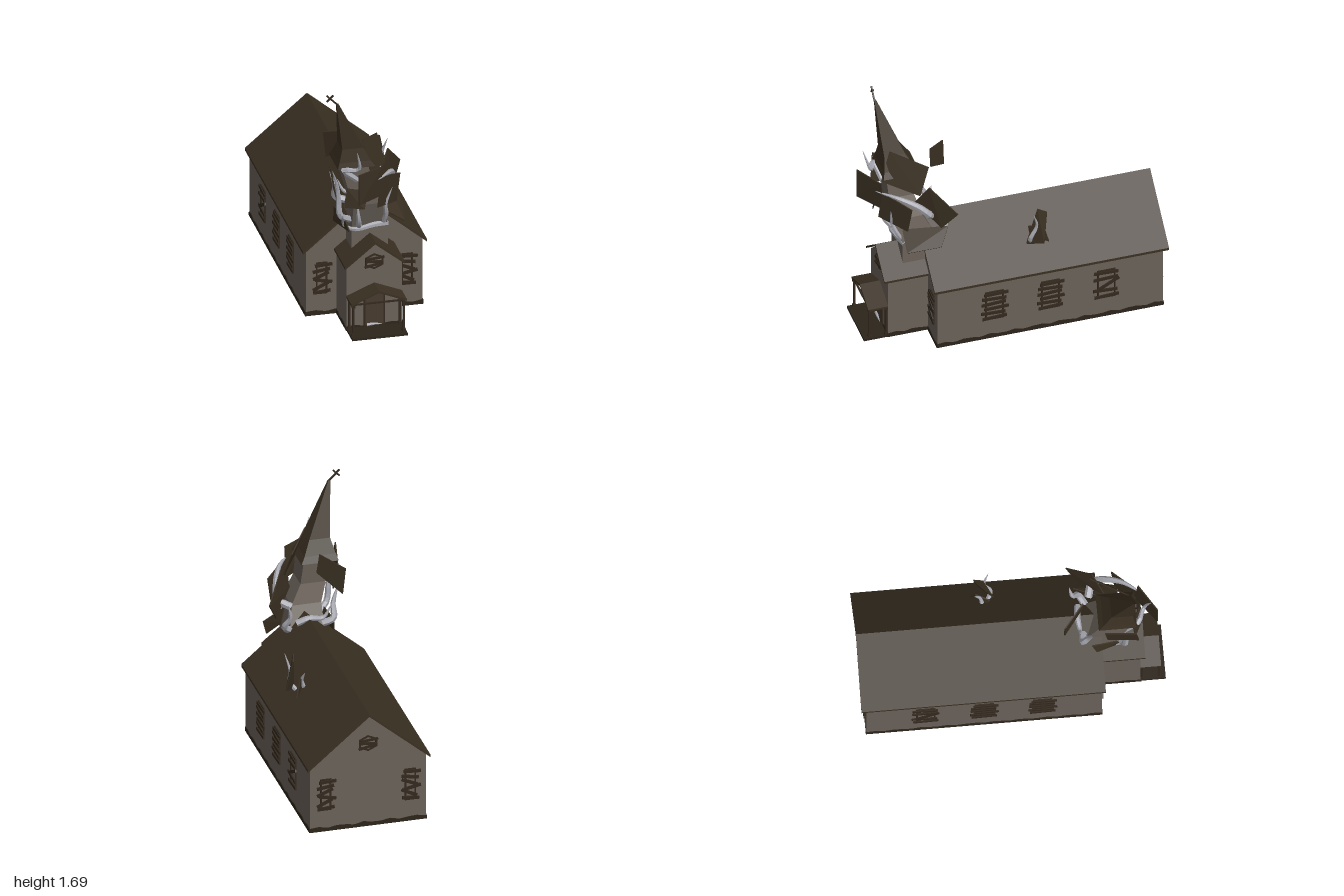
import * as THREE from 'three';
import { ConvexGeometry } from 'three/addons/geometries/ConvexGeometry.js';

const mat = (name, color, side = THREE.FrontSide) => {
  const m = new THREE.MeshStandardMaterial({ color, side });
  m.name = name;
  return m;
};
const V = (p) => new THREE.Vector3(...p);

export function createModel() {
  const model = new THREE.Group();
  model.name = 'ruinedChapel';
  const wall = mat('weatheredWall', 0x6a6159, THREE.DoubleSide);
  const roof = mat('roofBrown', 0x3a3022, THREE.DoubleSide);
  const timber = mat('darkTimber', 0x33291e);
  const doorMat = mat('doorBrown', 0x463a2d);
  const ground = mat('foundationDark', 0x2c241a);
  const root = mat('paleRoot', 0xa9aab2);

  const add = (name, geo, m, parent = model) => {
    const mesh = new THREE.Mesh(geo, m);
    mesh.name = name;
    parent.add(mesh);
    return mesh;
  };
  const box = (name, [w, h, d], [x, y, z], m, parent) => {
    const b = add(name, new THREE.BoxGeometry(w, h, d), m, parent);
    b.position.set(x, y, z);
    return b;
  };
  const extrudeZ = (pts, z0, z1) => {
    const shape = new THREE.Shape(pts.map((p) => new THREE.Vector2(...p)));
    return new THREE.ExtrudeGeometry(shape, { depth: z1 - z0, bevelEnabled: false }).translate(0, 0, z0);
  };
  const gableWalls = (name, w, eave, ridge, z0, z1) =>
    add(name, extrudeZ([[-w, 0.01], [w, 0.01], [w, eave], [0, ridge], [-w, eave]], z0, z1), wall);
  const gableRoof = (name, w, eave, ridge, t, z0, z1) =>
    add(name, extrudeZ([[-w, eave], [0, ridge - t], [w, eave], [w, eave + t], [0, ridge], [-w, eave + t]], z0, z1), roof);

  // Hall and entrance block
  gableWalls('hallWalls', 0.39, 0.47, 0.805, -0.965, 0.565);
  gableRoof('hallRoof', 0.413, 0.455, 0.822, 0.018, -1, 0.59);
  gableWalls('entranceWalls', 0.185, 0.455, 0.612, 0.5, 0.835);
  gableRoof('entranceRoof', 0.2, 0.45, 0.628, 0.016, 0.565, 0.865);

  // Foundations and skirting with a ragged top edge
  box('hallFoundation', [0.79, 0.022, 1.54], [0, 0.011, -0.2], ground);
  box('entranceFoundation', [0.378, 0.022, 0.3], [0, 0.011, 0.69], ground);
  box('porchFloor', [0.37, 0.016, 0.17], [0, 0.008, 0.915], ground);
  const skirting = (length, x, z, turn) => {
    const n = Math.round(length / 0.06);
    const pts = [[-length / 2, 0.01], [length / 2, 0.01]];
    for (let i = n; i >= 0; i--) pts.push([(i / n - 0.5) * length, 0.028 + 0.008 * Math.sin(i * 2.3)]);
    const s = add('skirting', extrudeZ(pts, 0, 0.005), ground);
    s.position.set(x, 0, z);
    s.rotation.y = turn;
  };
  for (const s of [-1, 1]) {
    skirting(1.53, s * 0.39, -0.2, s * Math.PI / 2);
    skirting(0.205, s * 0.288, 0.565, 0);
    skirting(0.27, s * 0.185, 0.7, s * Math.PI / 2);
    skirting(0.12, s * 0.125, 0.835, 0);
  }
  skirting(0.78, 0, -0.965, Math.PI);

  // Boarded windows: four frame bars with crooked planks nailed across
  const boardedWindow = (x, y, z, turn, w, tilts) => {
    const g = new THREE.Group();
    g.name = 'boardedWindow';
    g.position.set(x, y, z);
    g.rotation.y = turn;
    for (const s of [-1, 1]) {
      box('frameSide', [0.01, 0.225, 0.009], [s * w / 2, 0, 0.004], timber, g);
      box('frameRail', [w + 0.01, 0.01, 0.009], [0, s * 0.108, 0.004], timber, g);
    }
    tilts.forEach((tilt, i) => {
      const t = i / (tilts.length - 1) - 0.5;
      const p = box('plank', [w + 0.05, 0.021, 0.009], [0.012 * Math.sin(i * 4), t * 0.19, 0.011], timber, g);
      p.rotation.z = tilt;
    });
    model.add(g);
  };
  const straight = [0.05, -0.04, 0.03, 0.06, -0.05, 0.02];
  const crooked = [0.05, -0.06, 0.5, 0.05, -0.03];
  const slanted = [0.1, 0.45, -0.2, 0.4, 0.15, 0.05];
  for (const s of [-1, 1]) {
    [0.18, -0.2, -0.58].forEach((z, i) =>
      boardedWindow(s * 0.39, 0.265, z, s * Math.PI / 2, 0.115, i === 2 ? crooked : straight));
    boardedWindow(s * 0.285, 0.265, 0.565, 0, 0.065, slanted.map((a) => a * -s));
    boardedWindow(s * 0.285, 0.265, -0.965, Math.PI, 0.065, slanted.map((a) => a * s));
  }

  // Hexagonal gable vents
  const hexagon = (r) => [90, 150, 210, 270, 330, 30].map((a) =>
    new THREE.Vector2(Math.cos(a * Math.PI / 180) * r * 1.25, Math.sin(a * Math.PI / 180) * r));
  const vent = (y, z, turn) => {
    const g = new THREE.Group();
    g.name = 'gableVent';
    g.position.set(0, y, z);
    g.rotation.y = turn;
    const ring = new THREE.Shape(hexagon(0.056));
    ring.holes.push(new THREE.Path(hexagon(0.045)));
    add('ventFrame', new THREE.ExtrudeGeometry(ring, { depth: 0.008, bevelEnabled: false }), timber, g);
    [0.2, -0.08, 0.1].forEach((a, i) => {
      box('ventPlank', [0.12, 0.016, 0.009], [0.006 * (i - 1), (i - 1) * 0.024, 0.011], timber, g).rotation.z = a;
    });
    model.add(g);
  };
  vent(0.48, 0.835, 0);
  vent(0.6, -0.965, Math.PI);

  // Porch: posts, beams and small gable roof
  gableRoof('porchRoof', 0.185, 0.235, 0.325, 0.014, 0.835, 0.97);
  for (const s of [-1, 1]) {
    for (const z of [0.845, 0.955]) {
      box('porchPost', [0.014, 0.225, 0.014], [s * 0.168, 0.125, z], timber);
      box('postFoot', [0.022, 0.018, 0.022], [s * 0.168, 0.024, z], timber);
      box('postCap', [0.022, 0.014, 0.022], [s * 0.168, 0.225, z], timber);
    }
    box('porchSideBeam', [0.012, 0.014, 0.12], [s * 0.168, 0.238, 0.9], timber);
    box('doorJamb', [0.01, 0.235, 0.012], [s * 0.066, 0.135, 0.838], timber);
  }
  box('porchBeam', [0.34, 0.01, 0.012], [0, 0.238, 0.955], timber);
  box('doorLintel', [0.142, 0.01, 0.012], [0, 0.25, 0.838], timber);
  box('door', [0.125, 0.225, 0.006], [0, 0.135, 0.836], doorMat);
  box('doorCrossPost', [0.005, 0.045, 0.006], [0, 0.282, 0.838], timber);
  box('doorCrossArm', [0.024, 0.005, 0.006], [0, 0.29, 0.838], timber);

  // Square rings [x, y, z, half width] joined into a faceted tower section
  const loft = (name, rings, m) => {
    const pos = [];
    const corner = ([x, y, z, h], k) => [x + h * [-1, 1, 1, -1][k % 4], y, z + h * [1, 1, -1, -1][k % 4]];
    for (let i = 0; i < rings.length - 1; i++) {
      for (let k = 0; k < 4; k++) {
        const a = corner(rings[i], k), b = corner(rings[i], k + 1);
        const c = corner(rings[i + 1], k + 1), d = corner(rings[i + 1], k);
        pos.push(...a, ...b, ...c, ...a, ...c, ...d);
      }
    }
    const g = new THREE.BufferGeometry();
    g.setAttribute('position', new THREE.Float32BufferAttribute(pos, 3));
    g.computeVertexNormals();
    return add(name, g, m);
  };
  loft('twistedTower', [[0, 0.5, 0.595, 0.122], [0, 0.69, 0.597, 0.12], [-0.02, 0.86, 0.67, 0.1],
    [-0.075, 0.99, 0.69, 0.085], [-0.11, 1.17, 0.69, 0.1]], wall);
  loft('leaningSpire', [[-0.11, 1.15, 0.685, 0], [-0.11, 1.15, 0.685, 0.125], [-0.118, 1.19, 0.695, 0.105],
    [-0.13, 1.28, 0.715, 0.07], [-0.235, 1.62, 0.793, 0.007]], roof);
  const cross = new THREE.Group();
  cross.name = 'spireCross';
  cross.position.set(-0.235, 1.615, 0.797);
  cross.rotation.z = Math.PI / 4;
  box('crossPost', [0.01, 0.1, 0.01], [0, 0.05, 0], timber, cross);
  box('crossArm', [0.06, 0.01, 0.01], [0, 0.07, 0], timber, cross);
  model.add(cross);

  // Torn roof and wall panels hanging around the tower and the roof breach
  const panel = (name, corners) => {
    const p = corners.map(V);
    const n = p[2].clone().sub(p[0]).cross(p[3].clone().sub(p[1])).setLength(0.004);
    add(name, new ConvexGeometry(p.flatMap((v) => [v.clone().add(n), v.clone().sub(n)])), roof);
  };
  [
    [[-0.06, 1.32, 0.75], [0.09, 1.25, 0.53], [0.13, 1.06, 0.6], [-0.02, 1.12, 0.82]],
    [[-0.13, 1.165, 0.95], [0.05, 1.155, 0.84], [0.05, 0.94, 0.82], [-0.13, 0.95, 0.95]],
    [[0.05, 1.08, 0.83], [0.21, 1.02, 0.68], [0.18, 0.83, 0.7], [0.02, 0.87, 0.85]],
    [[0.16, 1.14, 0.55], [0.28, 0.97, 0.39], [0.21, 0.83, 0.48], [0.08, 0.98, 0.62]],
    [[0.09, 0.78, 0.71], [0.19, 0.82, 0.43], [0.27, 0.72, 0.5], [0.23, 0.69, 0.72]],
    [[-0.08, 1.26, 0.47], [-0.22, 1.2, 0.34], [-0.2, 1.02, 0.34], [-0.06, 1.13, 0.47]],
    [[-0.28, 1.16, 0.8], [-0.24, 1.1, 0.6], [-0.215, 0.92, 0.62], [-0.25, 0.96, 0.82]],
    [[-0.19, 0.87, 0.8], [-0.07, 0.87, 0.86], [-0.04, 0.99, 0.84], [-0.17, 1.0, 0.79]],
    [[-0.19, 0.75, 0.52], [-0.17, 0.76, 0.72], [-0.14, 0.66, 0.74], [-0.2, 0.66, 0.55]],
  ].forEach((c) => panel('tornPanel', c));
  panel('breachBoard', [[0.27, 0.885, -0.15], [0.29, 0.86, -0.21], [0.33, 0.64, -0.18], [0.25, 0.6, -0.08]]);
  panel('breachBoard', [[0.2, 0.7, -0.11], [0.24, 0.72, -0.2], [0.27, 0.6, -0.23], [0.2, 0.63, -0.12]]);
  const breach = add('roofBreach', new THREE.CylinderGeometry(0.075, 0.085, 0.006, 7), ground);
  breach.position.set(0.24, 0.614, -0.15);
  breach.rotation.z = -0.71;

  // Roots: faceted tubes tapering to a point
  const tendril = (r, pts) => {
    const curve = new THREE.CatmullRomCurve3(pts.map(V));
    const segs = 14, sides = 6;
    const tube = new THREE.TubeGeometry(curve, segs, r, sides);
    const p = tube.attributes.position, v = new THREE.Vector3();
    for (let i = 0; i < p.count; i++) {
      const t = Math.floor(i / (sides + 1)) / segs;
      const c = curve.getPointAt(t);
      v.fromBufferAttribute(p, i).sub(c).multiplyScalar(1 - 0.93 * t * t).add(c);
      p.setXYZ(i, v.x, v.y, v.z);
    }
    const g = tube.toNonIndexed();
    g.computeVertexNormals();
    add('root', g, root);
  };
  tendril(0.022, [[-0.12, 0.72, 0.68], [-0.2, 0.78, 0.73], [-0.215, 0.9, 0.74], [-0.23, 1.02, 0.76], [-0.27, 1.14, 0.8]]);
  tendril(0.02, [[-0.1, 1.05, 0.78], [-0.2, 1.15, 0.82], [-0.11, 1.16, 0.86], [-0.13, 1.31, 0.91]]);
  tendril(0.018, [[0.09, 0.68, 0.7], [0.1, 0.77, 0.75], [0.09, 0.85, 0.78], [0.13, 0.98, 0.8]]);
  tendril(0.02, [[-0.07, 0.67, 0.71], [-0.09, 0.76, 0.78], [-0.1, 0.87, 0.8]]);
  tendril(0.026, [[0.1, 0.88, 0.52], [0.18, 0.93, 0.55], [0.17, 1.0, 0.62], [0.12, 1.06, 0.74], [0.02, 1.08, 0.87]]);
  tendril(0.024, [[0.11, 0.72, 0.5], [0.16, 0.77, 0.46], [0.13, 0.85, 0.42], [0.15, 0.95, 0.4]]);
  tendril(0.024, [[-0.1, 0.76, 0.47], [-0.17, 0.79, 0.46], [-0.18, 0.88, 0.5], [-0.22, 1.0, 0.52]]);
  tendril(0.02, [[0.12, 0.68, 0.7], [0.02, 0.69, 0.73], [-0.1, 0.67, 0.73], [-0.16, 0.68, 0.68], [-0.19, 0.79, 0.76]]);
  tendril(0.022, [[0.08, 0.79, 0.45], [0, 0.82, 0.44], [-0.1, 0.81, 0.45], [-0.15, 0.9, 0.44]]);
  tendril(0.016, [[0.24, 0.6, -0.12], [0.28, 0.66, -0.1], [0.29, 0.76, -0.14], [0.32, 0.88, -0.11]]);
  tendril(0.015, [[0.2, 0.63, -0.16], [0.22, 0.7, -0.17], [0.21, 0.77, -0.21]]);
  // Rubble at the threshold
  tendril(0.01, [[-0.05, 0.03, 0.845], [0, 0.035, 0.85], [0.05, 0.028, 0.85]]);
  return model;
}
